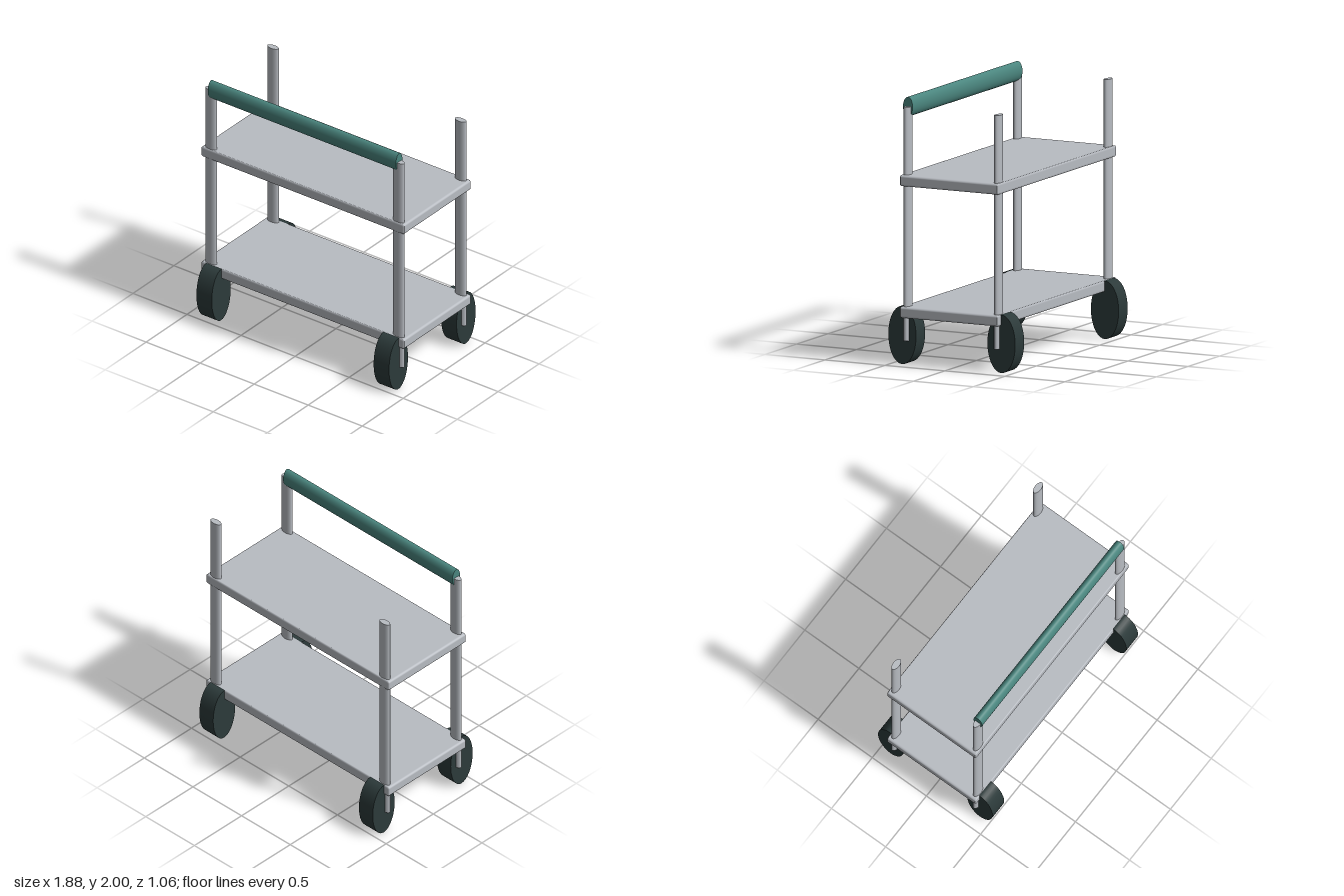
import * as THREE from 'three';
import { RoundedBoxGeometry } from 'three/addons/geometries/RoundedBoxGeometry.js';

export function createModel() {
  const cart = new THREE.Group();
  cart.name = 'cart';
  const steel = new THREE.MeshStandardMaterial({ name: 'brushed steel', color: 0xb8bcc2 });
  const rubber = new THREE.MeshStandardMaterial({ name: 'dark rubber', color: 0x2c3a3a });
  const grip = new THREE.MeshStandardMaterial({ name: 'teal grip', color: 0x4a857e });

  const add = (name, geometry, material, x, y, z) => {
    const mesh = new THREE.Mesh(geometry, material);
    mesh.name = name;
    mesh.position.set(x, y, z);
    cart.add(mesh);
  };

  // Round bar lying along x, with an oval section
  const barAlongX = (length, ry, rz) =>
    new THREE.CylinderGeometry(1, 1, length, 40).rotateZ(Math.PI / 2).scale(1, ry, rz);

  // Two shelves with softly rounded edges
  const shelf = new RoundedBoxGeometry(0.94, 0.0446, 0.82, 3, 0.009).scale(2, 1.86, 1);
  add('lowerShelf', shelf, steel, 0, 0.395, 0);
  add('upperShelf', shelf, steel, 0, 1.381, 0);

  // Oval corner posts and wheels
  const post = new THREE.CylinderGeometry(1, 1, 1.75, 32).scale(0.05, 1, 0.025);
  const wheel = barAlongX(0.142, 0.218, 0.116);
  for (const sx of [-1, 1]) {
    for (const sz of [-1, 1]) {
      const corner = (sz > 0 ? 'front' : 'back') + (sx > 0 ? 'Left' : 'Right');
      add(corner + 'Post', post, steel, sx * 0.868, 1.054, sz * 0.377);
      add(corner + 'Wheel', wheel, rubber, sx * 0.82, 0.218, sz * 0.413);
    }
  }

  // Push handle between the front posts
  add('handle', barAlongX(1.74, 0.073, 0.04), grip, 0, 1.927, 0.377);

  return cart;
}
